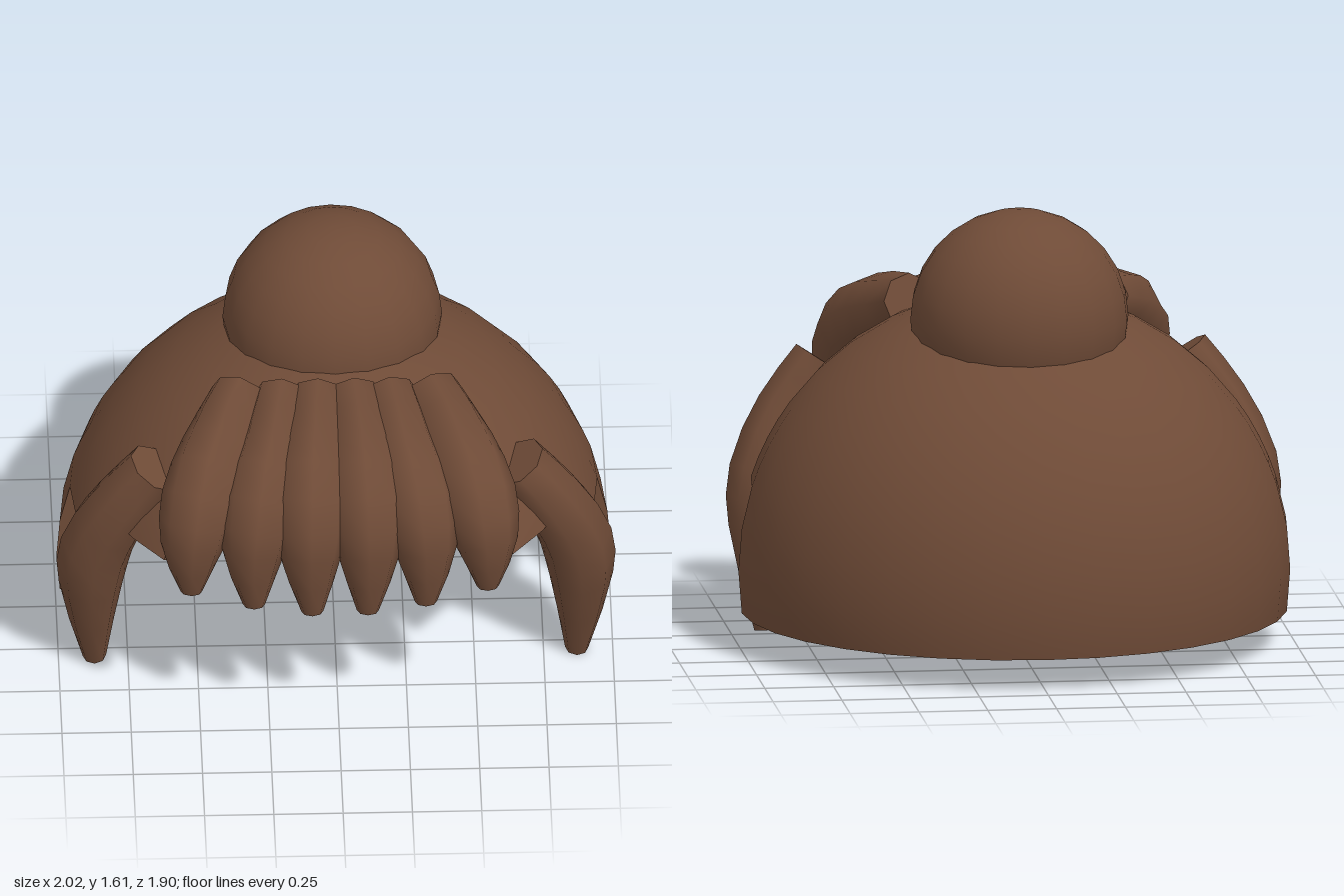
import * as THREE from 'three';

const brown = new THREE.MeshStandardMaterial({ color: 0x6f4b37, side: THREE.DoubleSide });
brown.name = 'hair brown';

// Tapered lock of hair: points are [x, y, z, radius], ends are flat
function lockGeometry(points, ref, rings = 8, sides = 8) {
  const path = new THREE.CatmullRomCurve3(points.map(p => new THREE.Vector3(p[0], p[1], p[2])));
  const size = new THREE.CatmullRomCurve3(points.map((p, i) => new THREE.Vector3(p[3], i, 0)));
  const pos = [], index = [];
  const addRing = t => {
    const c = path.getPoint(t), tan = path.getTangent(t), r = size.getPoint(t).x;
    const n = new THREE.Vector3().crossVectors(ref, tan).normalize();
    const b = new THREE.Vector3().crossVectors(tan, n);
    for (let j = 0; j < sides; j++) {
      const a = (j / sides) * Math.PI * 2;
      const v = c.clone().addScaledVector(n, r * Math.cos(a)).addScaledVector(b, r * Math.sin(a));
      pos.push(v.x, v.y, v.z);
    }
  };
  for (let i = 0; i <= rings; i++) addRing(i / rings);
  for (let i = 0; i < rings; i++) {
    for (let j = 0; j < sides; j++) {
      const a = i * sides + j, b = i * sides + (j + 1) % sides;
      index.push(a, b, a + sides, b, b + sides, a + sides);
    }
  }
  // separate end rings keep the cut ends crisp
  for (const end of [0, 1]) {
    const base = pos.length / 3;
    addRing(end);
    for (let j = 1; j < sides - 1; j++) {
      if (end) index.push(base, base + j, base + j + 1);
      else index.push(base, base + j + 1, base + j);
    }
  }
  const g = new THREE.BufferGeometry();
  g.setAttribute('position', new THREE.Float32BufferAttribute(pos, 3));
  g.setIndex(index);
  g.computeVertexNormals();
  return g;
}

export function createModel() {
  const model = new THREE.Group();
  model.name = 'hair';
  const add = (name, geometry, parent = model) => {
    const m = new THREE.Mesh(geometry, brown);
    m.name = name;
    parent.add(m);
    return m;
  };

  // Dome: a thick shell of belts that step down towards the back, open at the face
  const cap = new THREE.Group();
  cap.name = 'cap';
  cap.position.set(0, 0.273, 0.05);
  model.add(cap);
  const rad = THREE.MathUtils.degToRad;
  const outer = 1, inner = 0.94, row = 9, column = 11.25;

  // Bottom rim between the shells; azimuth is measured from the front
  const addRim = (name, lat, from, to) => {
    const s = Math.sin(rad(lat)), c = Math.cos(rad(lat));
    const rim = add(name, new THREE.CylinderGeometry(outer * c, inner * c, (outer - inner) * s,
      Math.round((to - from) / column), 1, true, rad(from), rad(to - from)), cap);
    rim.position.y = s * (outer + inner) / 2;
  };

  const belts = [ // name, top latitude, bottom latitude, half opening at the front, next opening
    ['crown', 90, 36, 0, 45],
    ['templeBelt', 36, 27, 45, 67.5],
    ['earBelt', 27, 18, 67.5, 90],
    ['napeBelt', 18, -9, 90, 180],
  ];
  for (const [name, top, bottom, gap, next] of belts) {
    const span = 360 - 2 * gap;
    for (const [layer, r] of [['Outer', outer], ['Inner', inner]]) {
      add(name + layer, new THREE.SphereGeometry(r, Math.round(span / column), (top - bottom) / row,
        rad(90 + gap), rad(span), rad(90 - top), rad(top - bottom)), cap);
    }
    if (gap === 0) {
      addRim(`${name}Rim`, bottom, -next, next);
      continue;
    }
    addRim(`${name}RimLeft`, bottom, gap, next);
    addRim(`${name}RimRight`, bottom, -next, -gap);
    // upright edges of the face opening
    for (const s of [1, -1]) {
      const edge = add(`${name}Edge`, new THREE.RingGeometry(inner, outer, (top - bottom) / row, 1,
        rad(bottom), rad(top - bottom)), cap);
      edge.rotation.y = rad(s * gap - 90);
    }
  }

  // Bun on top
  add('bun', new THREE.SphereGeometry(0.396, 20, 14)).position.set(0, 1.215, -0.12);

  // Fringe and side locks, mirrored
  const bangs = [
    [[0.065, 1.195, 0.335, 0.1], [0.085, 1.14, 0.58, 0.125], [0.10, 1.04, 0.765, 0.14],
      [0.105, 0.87, 0.835, 0.115], [0.10, 0.63, 0.87, 0.04]],
    [[0.195, 1.195, 0.33, 0.1], [0.235, 1.135, 0.57, 0.125], [0.285, 1.03, 0.745, 0.14],
      [0.31, 0.87, 0.815, 0.115], [0.31, 0.65, 0.85, 0.04]],
    [[0.345, 1.195, 0.315, 0.105], [0.43, 1.125, 0.54, 0.135], [0.50, 1.02, 0.71, 0.142],
      [0.53, 0.87, 0.78, 0.115], [0.535, 0.685, 0.81, 0.04]],
  ];
  const sideLock = [[0.655, 0.965, 0.445, 0.105], [0.775, 0.785, 0.425, 0.12],
    [0.865, 0.57, 0.375, 0.132], [0.885, 0.38, 0.35, 0.115], [0.87, 0.005, 0.30, 0.042]];
  for (const s of [1, -1]) {
    const side = s > 0 ? 'left' : 'right';
    const flip = pts => pts.map(([x, y, z, r]) => [s * x, y, z, r]);
    bangs.forEach((pts, i) =>
      add(`${side}Bang${i + 1}`, lockGeometry(flip(pts), new THREE.Vector3(1, 0, 0))));
    add(`${side}SideLock`, lockGeometry(flip(sideLock), new THREE.Vector3(0, 0, 1)));
  }
  return model;
}
